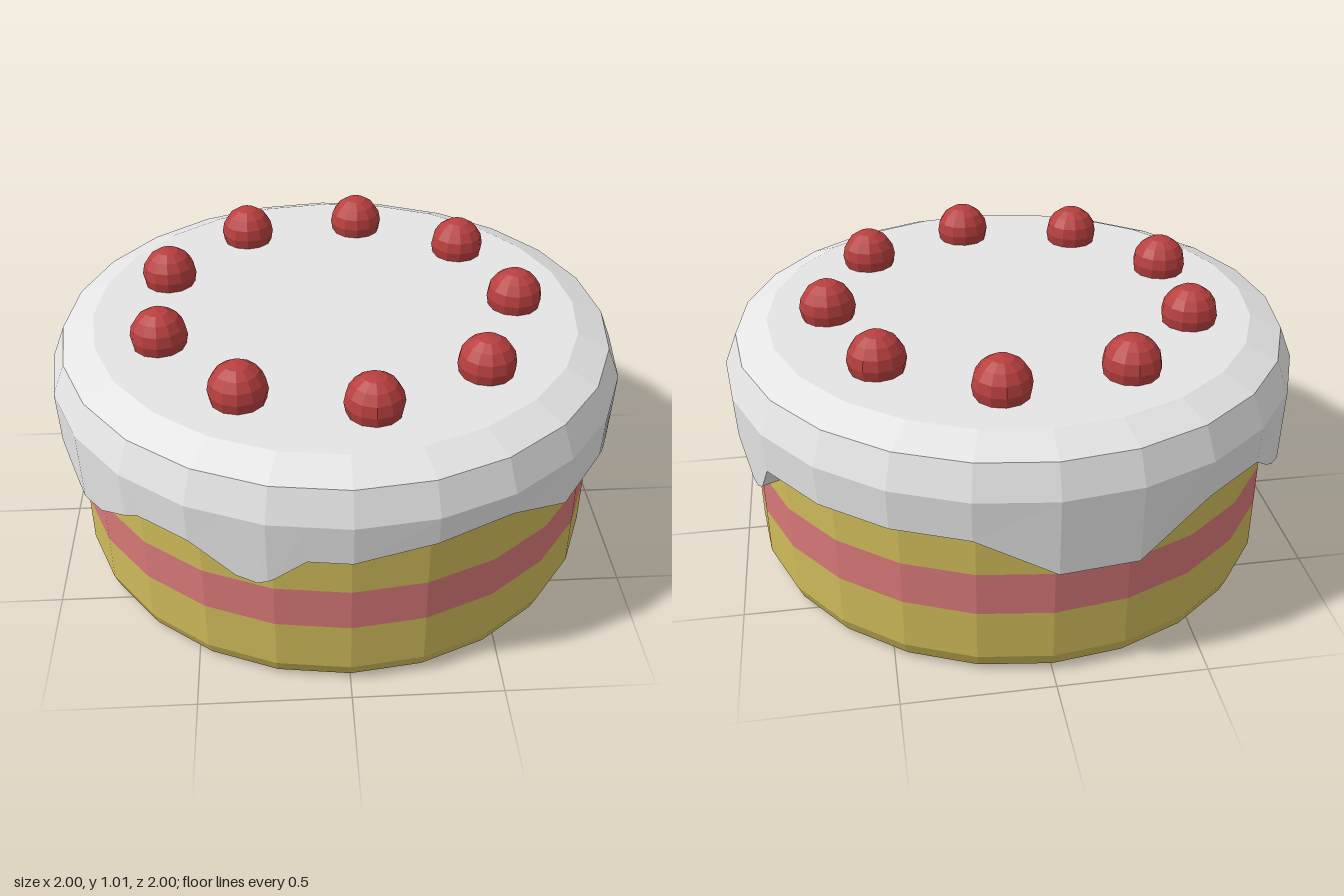
import * as THREE from 'three';

const SIDES = 24;
const material = (name, color, flatShading = true) => {
  const m = new THREE.MeshStandardMaterial({ color, flatShading });
  m.name = name;
  return m;
};

// Lower edge of the icing: angle in degrees from the front towards +x, height
const DRIPS = [
  [0, 0.58], [15, 0.62], [30, 0.64], [45, 0.54], [60, 0.57], [65, 0.52], [69, 0.5],
  [72, 0.51], [75, 0.555], [80, 0.6], [90, 0.62], [100, 0.6], [105, 0.575], [111, 0.465],
  [113.5, 0.455], [116, 0.48], [120, 0.58], [165, 0.58], [180, 0.45], [195, 0.445],
  [210, 0.59], [225, 0.59], [231, 0.52], [236, 0.47], [241, 0.455], [246, 0.465],
  [255, 0.505], [270, 0.565], [285, 0.53], [293, 0.49], [300, 0.47], [306, 0.475],
  [318, 0.58], [330, 0.58], [339, 0.485], [343, 0.475], [346, 0.5], [352, 0.58], [360, 0.58],
];

function dripHeight(deg) {
  const i = Math.max(1, DRIPS.findIndex(([a]) => a >= deg));
  const [a0, y0] = DRIPS[i - 1], [a1, y1] = DRIPS[i];
  return y0 + (y1 - y0) * (deg - a0) / (a1 - a0);
}

// Point on a regular polygon with its corners at the given radius
function polygonPoint(radius, deg, y) {
  const half = 180 / SIDES;
  const rad = THREE.MathUtils.degToRad;
  const r = radius * Math.cos(rad(half)) / Math.cos(rad(deg % (2 * half) - half));
  return [r * Math.sin(rad(deg)), y, r * Math.cos(rad(deg))];
}

// Icing shell: rings from the top centre, over the rim, down to the drips and back inside
function icingGeometry() {
  const angles = DRIPS.map(([a]) => a);
  for (let i = 0; i <= SIDES; i++) angles.push(i * 360 / SIDES);
  const cols = [...new Set(angles)].sort((a, b) => a - b);
  const rows = [
    [0, () => 0.875], [0.845, () => 0.875], [0.955, () => 0.83], [1, () => 0.72],
    [0.995, dripHeight], [0.93, dripHeight], [0.93, () => 0.75],
  ].map(([r, height]) => cols.map((a) => polygonPoint(r, a, height(a))));
  const positions = [];
  for (let i = 0; i < rows.length - 1; i++) {
    const up = rows[i], low = rows[i + 1];
    for (let j = 0; j < cols.length - 1; j++) {
      positions.push(...low[j], ...low[j + 1], ...up[j + 1]);
      if (i > 0) positions.push(...low[j], ...up[j + 1], ...up[j]);
    }
  }
  const geometry = new THREE.BufferGeometry();
  geometry.setAttribute('position', new THREE.Float32BufferAttribute(positions, 3));
  geometry.computeVertexNormals();
  return geometry;
}

export function createModel() {
  const cake = new THREE.Group();
  cake.name = 'cake';
  const sponge = material('sponge yellow', 0xcfbb5a);
  const jam = material('jam pink', 0xd87878);
  const icing = material('icing white', 0xe4e4e4);
  const cherryRed = material('cherry red', 0xb83f3f);

  const add = (name, geometry, mat, parent = cake) => {
    const mesh = new THREE.Mesh(geometry, mat);
    mesh.name = name;
    parent.add(mesh);
    return mesh;
  };
  const lathe = (profile) =>
    new THREE.LatheGeometry(profile.map(([x, y]) => new THREE.Vector2(x, y)), SIDES);

  // Cake layers
  add('lowerSponge', lathe([[0, 0], [0.875, 0], [0.915, 0.02], [0.935, 0.07], [0.935, 0.25]]), sponge);
  add('jamLayer', lathe([[0.935, 0.25], [0.935, 0.405]]), jam);
  add('upperSponge', lathe([[0.935, 0.405], [0.935, 0.74]]), sponge);

  // Dripping icing
  add('icing', icingGeometry(), icing);

  // Ring of cherries
  const cherries = new THREE.Group();
  cherries.name = 'cherries';
  cake.add(cherries);
  const cherryGeometry = new THREE.SphereGeometry(0.097, 12, 8);
  for (let i = 0; i < 9; i++) {
    const a = i * 0.693;
    add('cherry', cherryGeometry, cherryRed, cherries)
      .position.set(0.633 * Math.cos(a), 0.91, -0.633 * Math.sin(a));
  }
  return cake;
}
